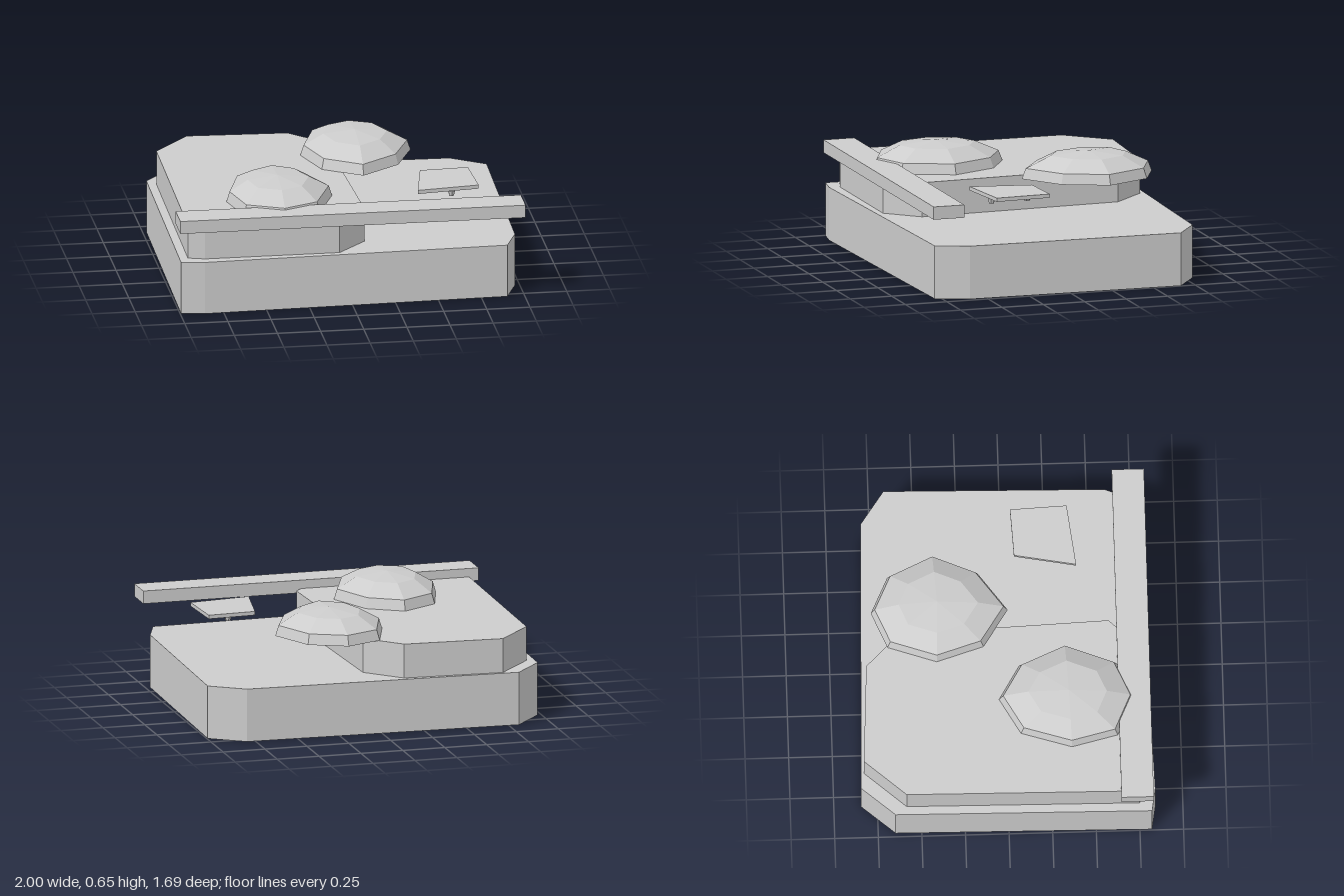
import * as THREE from 'three';

// Upright prism from a plan outline of [x, z] points
function slab(name, outline, y0, y1, material) {
  const shape = new THREE.Shape(outline.map(([x, z]) => new THREE.Vector2(x, -z)));
  const geometry = new THREE.ExtrudeGeometry(shape, { depth: y1 - y0, bevelEnabled: false });
  geometry.rotateX(-Math.PI / 2).translate(0, y0, 0);
  const mesh = new THREE.Mesh(geometry, material);
  mesh.name = name;
  return mesh;
}

// Faceted dome: the rim outline is scaled towards its centre at each height
function dome(name, rim, [cx, cz], material) {
  const profile = [[0, 0.51], [1, 0.51], [0.94, 0.57], [0.58, 0.635], [0, 0.655]];
  const positions = [];
  const point = (ring, i) => {
    const [s, y] = profile[ring];
    const [x, z] = rim[i % rim.length];
    return [cx + (x - cx) * s, y, cz + (z - cz) * s];
  };
  for (let r = 0; r < profile.length - 1; r++) {
    for (let i = 0; i < rim.length; i++) {
      if (r > 0) positions.push(...point(r, i), ...point(r + 1, i), ...point(r, i + 1));
      if (r < profile.length - 2) {
        positions.push(...point(r + 1, i), ...point(r + 1, i + 1), ...point(r, i + 1));
      }
    }
  }
  const geometry = new THREE.BufferGeometry();
  geometry.setAttribute('position', new THREE.Float32BufferAttribute(positions, 3));
  geometry.computeVertexNormals();
  const mesh = new THREE.Mesh(geometry, material);
  mesh.name = name;
  return mesh;
}

export function createModel() {
  const group = new THREE.Group();
  group.name = 'steppedPlatform';
  const grey = new THREE.MeshStandardMaterial({ color: 0xcccccc, flatShading: true });
  grey.name = 'light grey';

  // Wide lower block with cut corners
  group.add(slab('baseBlock', [
    [-0.81, -0.845], [0.8, -0.8], [0.995, -0.665], [0.972, 0.6],
    [0.9, 0.79], [-0.86, 0.842], [-0.995, 0.82], [-0.978, -0.65],
  ], 0, 0.31, grey));

  // Narrower raised block on the right half
  group.add(slab('upperBlock', [
    [-0.72, -0.825], [-0.14, -0.795], [0.05, -0.6], [0.1, 0.6],
    [-0.07, 0.78], [-0.85, 0.78], [-0.945, 0.75], [-0.93, -0.585],
  ], 0.31, 0.51, grey));

  // Long bar across the front
  const bar = new THREE.Mesh(new THREE.BoxGeometry(2, 0.075, 0.185), grey);
  bar.position.set(0, 0.5225, 0.737);
  bar.name = 'frontBar';
  group.add(bar);

  // Two domes
  group.add(dome('frontDome', [
    [-0.365, -0.04], [-0.165, 0.08], [-0.05, 0.345], [-0.165, 0.64],
    [-0.378, 0.735], [-0.6, 0.635], [-0.665, 0.37], [-0.575, 0.08],
  ], [-0.37, 0.36], grey));
  group.add(dome('backDome', [
    [0.18, -0.76], [0.395, -0.66], [0.515, -0.4], [0.405, -0.14],
    [0.18, 0.025], [-0.04, -0.12], [-0.125, -0.39], [-0.03, -0.67],
  ], [0.19, -0.38], grey));

  // Thin plate above the lower step, with small feet beneath it
  group.add(slab('sidePlate', [
    [0.5, 0.07], [0.78, 0.055], [0.795, 0.38], [0.435, 0.425],
  ], 0.52, 0.542, grey));
  for (const z of [0.145, 0.36]) {
    const foot = new THREE.Mesh(new THREE.CylinderGeometry(0.022, 0.015, 0.028, 6), grey);
    foot.position.set(0.64, 0.495, z);
    foot.name = 'plateFoot';
    group.add(foot);
  }
  return group;
}
